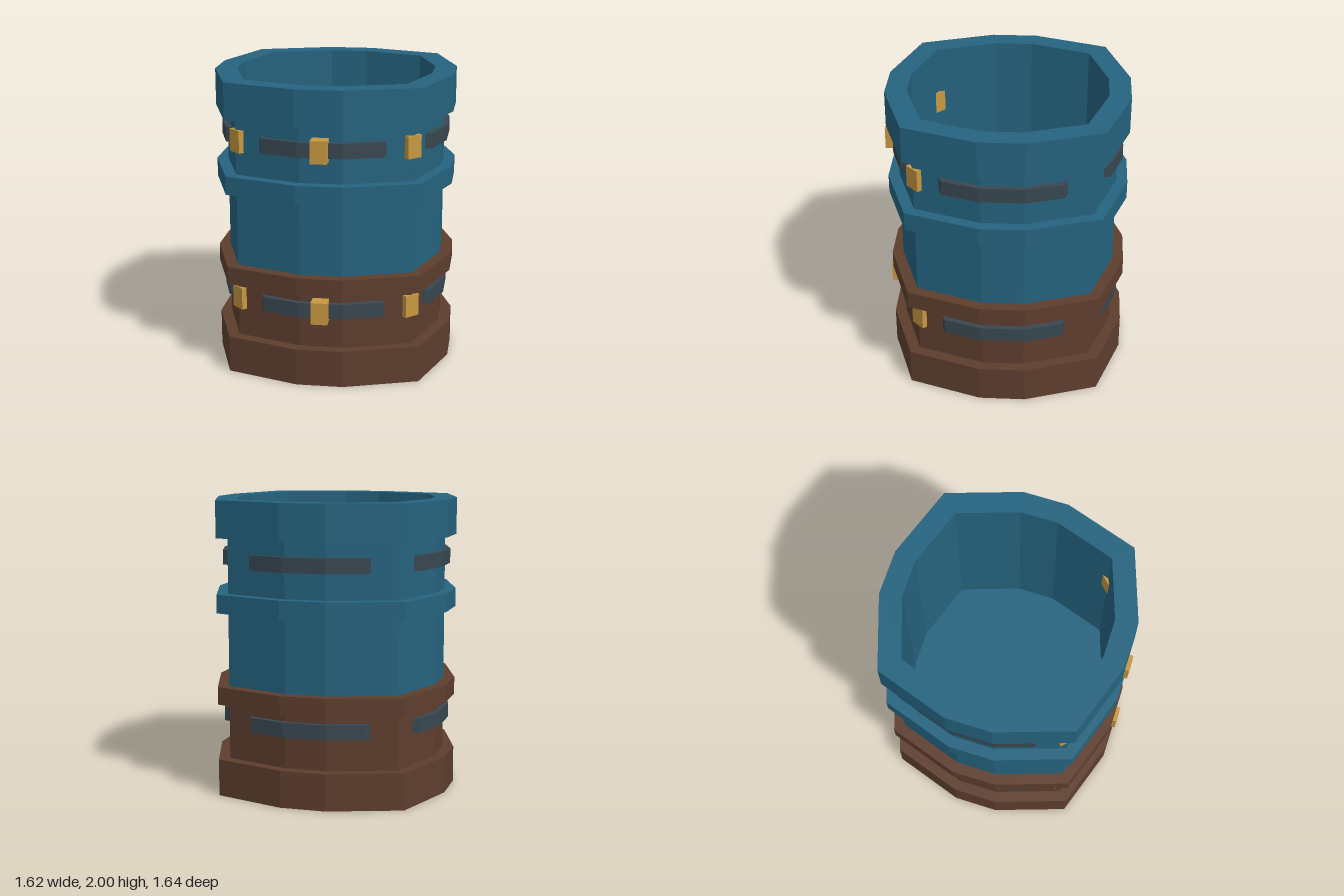
import * as THREE from 'three';

const mat = (name, color) => Object.assign(new THREE.MeshStandardMaterial({ color, flatShading: true }), { name });

// Twelve-sided outline as [x, z], counter-clockwise from the front
const quarter = [[-0.155, 0.81], [0.155, 0.81], [0.645, 0.645]];
const outline = [];
for (let q = 0; q < 4; q++) {
  for (let [x, z] of quarter) {
    for (let k = 0; k < q; k++) [x, z] = [z, -x];
    outline.push([x, z]);
  }
}

// Skin a profile of [outline scale, height] steps around the outline
function loft(profile) {
  const pos = [];
  const point = (i, [s, y]) => {
    const [x, z] = outline[i % outline.length];
    return [x * s, y, z * s];
  };
  for (let j = 0; j < profile.length - 1; j++) {
    for (let i = 0; i < outline.length; i++) {
      const a = point(i, profile[j]), b = point(i + 1, profile[j]);
      const c = point(i + 1, profile[j + 1]), d = point(i, profile[j + 1]);
      if (profile[j][0] > 0) pos.push(...a, ...b, ...c);
      if (profile[j + 1][0] > 0) pos.push(...a, ...c, ...d);
      else if (profile[j][0] > 0) continue;
      else pos.push(...a, ...c, ...d);
    }
  }
  const g = new THREE.BufferGeometry();
  g.setAttribute('position', new THREE.Float32BufferAttribute(pos, 3));
  g.computeVertexNormals();
  return g;
}

export function createModel() {
  const blue = mat('blue shell', 0x25637f);
  const brown = mat('brown base', 0x5e3e2e);
  const slate = mat('slate strap', 0x394751);
  const gold = mat('gold stud', 0xc79740);

  const model = new THREE.Group();
  model.name = 'container';
  const body = new THREE.Group();
  body.name = 'body';
  body.position.z = -0.015;
  model.add(body);

  const add = (name, geometry, material) => {
    const mesh = new THREE.Mesh(geometry, material);
    mesh.name = name;
    body.add(mesh);
    return mesh;
  };

  const wide = 1, narrow = 0.907, inner = 0.82;

  // Closed brown base with foot and collar
  add('base', loft([
    [0, 0], [wide, 0], [wide, 0.25], [narrow, 0.25],
    [narrow, 0.63], [wide, 0.63], [wide, 0.75], [inner, 0.75],
  ]), brown);

  // Blue shell with belt, rim and hollow inside
  add('shell', loft([
    [narrow, 0.75], [narrow, 1.25], [wide, 1.25], [wide, 1.375], [narrow, 1.375],
    [narrow, 1.75], [wide, 1.75], [wide, 2], [inner, 2], [inner, 0.75], [0, 0.75],
  ]), blue);

  // Bent strap that follows three faces of the outline
  const strapShape = new THREE.Shape([
    [-0.415, 0.635], [-0.14, 0.725], [0.14, 0.725], [0.415, 0.635],
    [0.395, 0.692], [0.15, 0.77], [-0.15, 0.77], [-0.395, 0.692],
  ].map(([x, z]) => new THREE.Vector2(x, z)));
  const strapGeo = new THREE.ExtrudeGeometry(strapShape, { depth: 0.1, bevelEnabled: false });
  strapGeo.rotateX(Math.PI / 2).translate(0, 0.05, 0);
  const studGeo = new THREE.BoxGeometry(0.11, 0.15, 0.11);

  for (const [level, y] of [['lower', 0.515], ['upper', 1.6]]) {
    ['front', 'left', 'back', 'right'].forEach((side, i) => {
      const strap = add(`${level} ${side} strap`, strapGeo, slate);
      strap.position.y = y;
      strap.rotation.y = i * Math.PI / 2;
    });
    // Studs on the front face and the two front corners
    add(`${level} front stud`, studGeo, gold).position.set(0, y + 0.003, 0.78);
    for (const s of [-1, 1]) {
      const stud = add(`${level} ${s > 0 ? 'left' : 'right'} corner stud`, studGeo, gold);
      stud.position.set(s * 0.553, y + 0.003, 0.553);
      stud.rotation.y = s * Math.PI / 4;
    }
  }
  return model;
}
